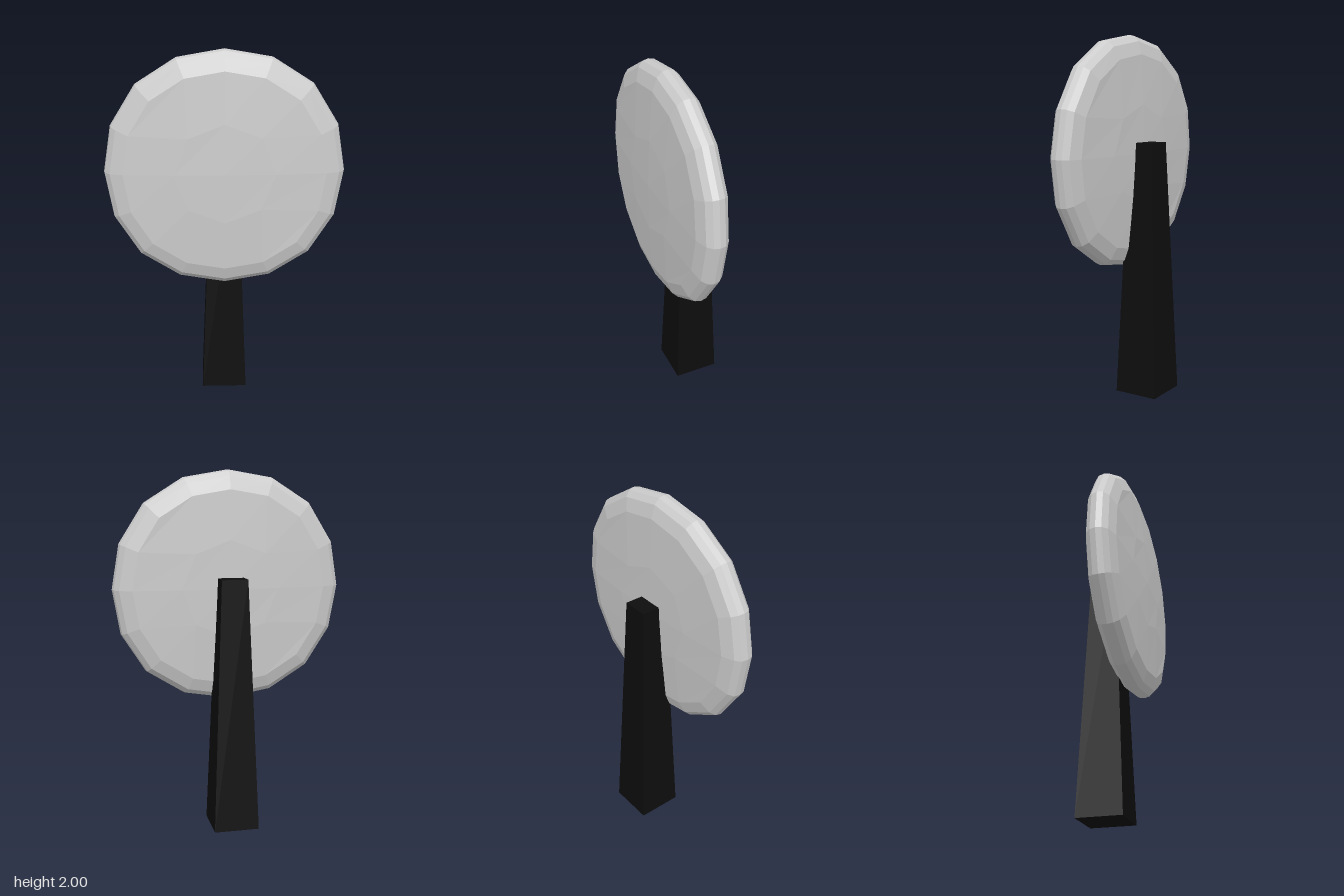
import * as THREE from 'three';

// Half profile of the disc, from rim to centre: [radius, half thickness]
const PROFILE = [[0.645, 0], [0.638, 0.032], [0.61, 0.06], [0.54, 0.083], [0.27, 0.1], [0, 0.106]];

// Angle of a point on a square, spaced evenly along each side
function squareAngle(x, y) {
  const q = Math.PI / 4;
  if (x === 0 && y === 0) return 0;
  if (Math.abs(x) >= Math.abs(y)) return x > 0 ? (y / x) * q : Math.PI + (y / x) * q;
  return y > 0 ? Math.PI / 2 - (x / y) * q : -Math.PI / 2 - (x / y) * q;
}

// Subdivided box rounded into a thick, softly domed disc
function discGeometry() {
  const geo = new THREE.BoxGeometry(2, 2, 2, 4, 4, 6);
  const pos = geo.attributes.position;
  for (let i = 0; i < pos.count; i++) {
    const x = Math.round(pos.getX(i) * 2) / 2;
    const y = Math.round(pos.getY(i) * 2) / 2;
    const z = pos.getZ(i);
    const m = Math.max(Math.abs(x), Math.abs(y));
    const k = Math.round(Math.abs(z) * 3 + (1 - m) * 2);
    const a = squareAngle(x, y);
    const r = PROFILE[k][0] * (1 + 0.022 * Math.sin(2 * a) ** 2);
    pos.setXYZ(i, r * Math.cos(a), r * Math.sin(a), Math.sign(z) * PROFILE[k][1]);
  }
  geo.computeVertexNormals();
  return geo;
}

export function createModel() {
  const model = new THREE.Group();

  // Round panel, leaning back slightly
  const disc = new THREE.Mesh(
    discGeometry(),
    new THREE.MeshStandardMaterial({ color: 0xcccccc, flatShading: true })
  );
  disc.name = 'disc';
  disc.position.set(0, 1.355, 0.076);
  disc.rotation.x = -0.024;
  model.add(disc);

  // Square tapered post behind the panel
  const postGeo = new THREE.CylinderGeometry(0.073 * Math.SQRT2, 0.127 * Math.SQRT2, 1.415, 4);
  postGeo.rotateY(Math.PI / 4);
  const post = new THREE.Mesh(
    postGeo,
    new THREE.MeshStandardMaterial({ color: 0x0d0d0d, flatShading: true })
  );
  post.name = 'post';
  post.position.set(0, 1.415 / 2, -0.058);
  model.add(post);

  return model;
}
